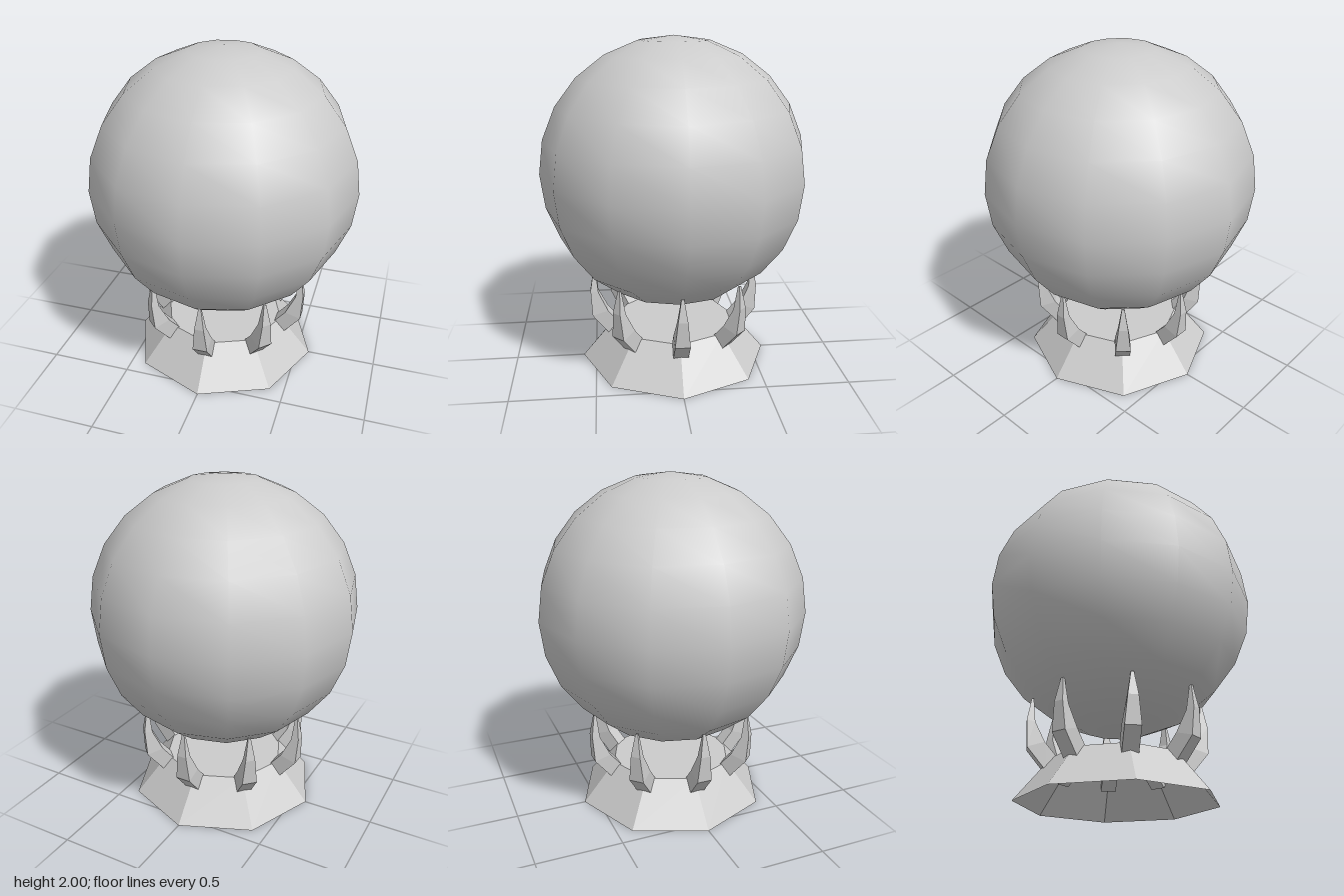
import * as THREE from 'three';

const SIDES = 8;

// One claw in the x-y plane, x being the distance from the axis.
// Rings from root to tip: [inner x, inner y, outer x, outer y, half width]
const CLAW_RINGS = [
  [0.33, 0.215, 0.403, 0.155, 0.045],
  [0.418, 0.32, 0.515, 0.29, 0.045],
  [0.476, 0.44, 0.524, 0.45, 0.029],
  [0.49, 0.585, 0.502, 0.585, 0.008],
];

function clawGeometry() {
  const geo = new THREE.BoxGeometry(1, 1, 1, 1, CLAW_RINGS.length - 1, 1);
  const p = geo.attributes.position;
  for (let i = 0; i < p.count; i++) {
    const ring = CLAW_RINGS[Math.round((p.getY(i) + 0.5) * (CLAW_RINGS.length - 1))];
    const [ix, iy, ox, oy, w] = ring;
    const outer = p.getX(i) > 0;
    p.setXYZ(i, outer ? ox : ix, outer ? oy : iy, Math.sign(p.getZ(i)) * w);
  }
  const flat = geo.toNonIndexed();
  flat.computeVertexNormals();
  return flat;
}

export function createModel() {
  const model = new THREE.Group();
  const smooth = new THREE.MeshStandardMaterial({ color: 0xcccccc });
  const faceted = new THREE.MeshStandardMaterial({ color: 0xcccccc, flatShading: true });
  const shell = new THREE.MeshStandardMaterial({
    color: 0xcccccc, flatShading: true, side: THREE.DoubleSide,
  });

  const add = (parent, name, geometry, material) => {
    const mesh = new THREE.Mesh(geometry, material);
    mesh.name = name;
    parent.add(mesh);
    return mesh;
  };

  // Ball
  add(model, 'ball', new THREE.SphereGeometry(0.8, 12, 12), smooth).position.y = 1.2;

  // Hollow stand, open underneath, with a flat top
  const stand = new THREE.Group();
  stand.name = 'stand';
  model.add(stand);
  add(stand, 'standWall', new THREE.CylinderGeometry(0.38, 0.58, 0.24, SIDES, 1, true), shell)
    .position.y = 0.12;
  const top = add(stand, 'standTop', new THREE.CircleGeometry(0.38, SIDES), shell);
  top.rotation.x = -Math.PI / 2;
  top.position.y = 0.24;

  // Claws at the corners of the stand
  const claws = new THREE.Group();
  claws.name = 'claws';
  model.add(claws);
  const geo = clawGeometry();
  for (let i = 0; i < SIDES; i++) {
    add(claws, 'claw', geo, faceted).rotation.y = (i / SIDES) * Math.PI * 2;
  }

  return model;
}
